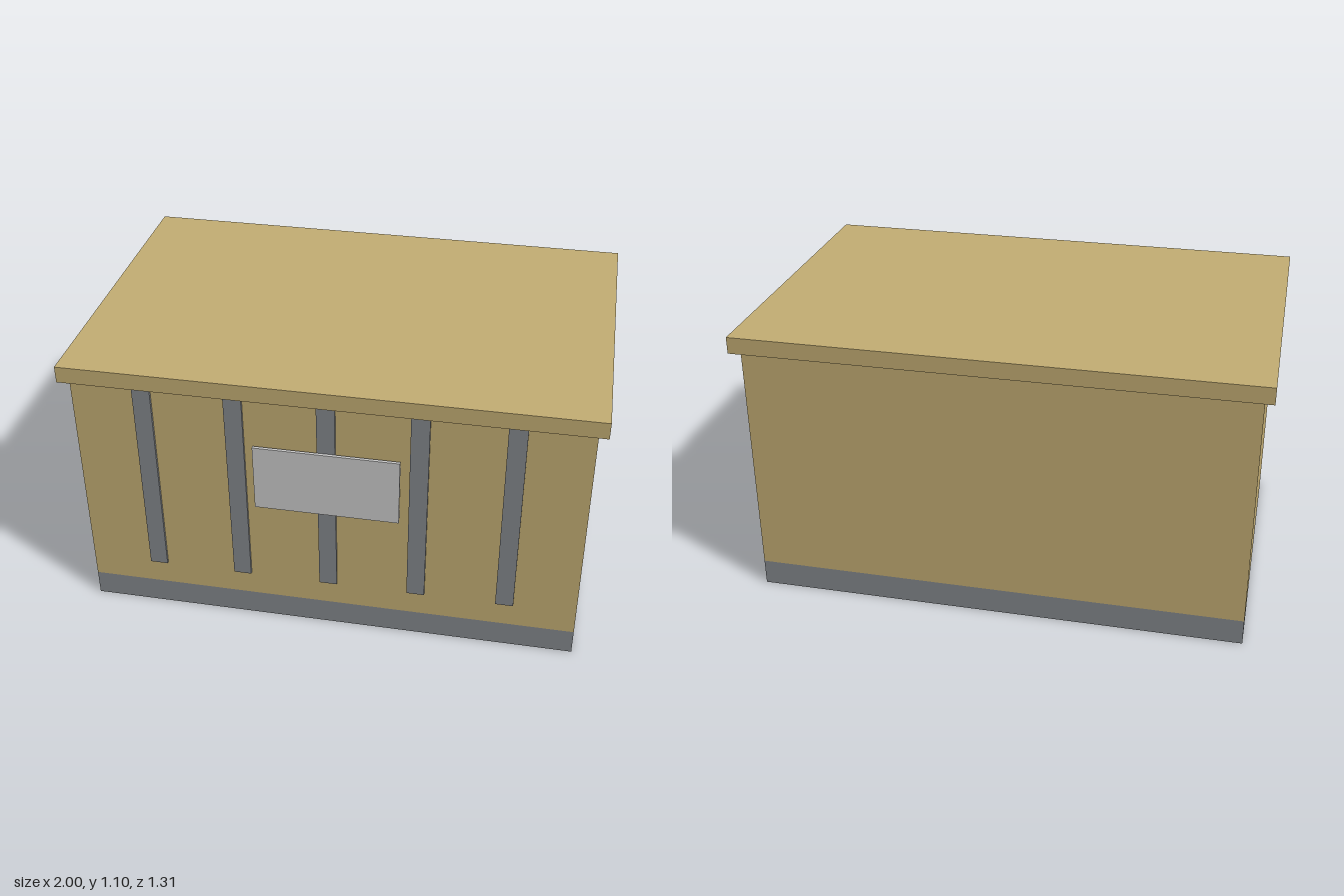
import * as THREE from 'three';

const material = (name, color) => {
  const m = new THREE.MeshStandardMaterial({ color });
  m.name = name;
  return m;
};

export function createModel() {
  const group = new THREE.Group();
  group.name = 'building';
  const tan = material('tan', 0xc4ae74);
  const grey = material('grey', 0x84888c);
  const pale = material('paleGrey', 0xcbcbcb);

  // Box given by its lowest y, highest y, and back and front z
  const box = (name, mat, x, width, y0, y1, z0, z1) => {
    const mesh = new THREE.Mesh(new THREE.BoxGeometry(width, y1 - y0, z1 - z0), mat);
    mesh.position.set(x, (y0 + y1) / 2, (z0 + z1) / 2);
    mesh.name = name;
    group.add(mesh);
  };

  // Plinth, walls and overhanging flat roof
  box('plinth', grey, 0, 1.93, 0, 0.103, -0.62, 0.62);
  box('walls', tan, 0, 1.93, 0.103, 1.038, -0.62, 0.62);
  box('roofSlab', tan, 0, 2, 1.038, 1.103, -0.655, 0.655);

  // Five upright strips on the front wall
  for (let i = -2; i <= 2; i++) {
    box('frontStrip', grey, i * 0.345, 0.069, 0.207, 1.038, 0.62, 0.631);
  }

  // Blank sign board over the middle strip
  box('signBoard', pale, 0, 0.552, 0.556, 0.829, 0.631, 0.643);

  return group;
}
